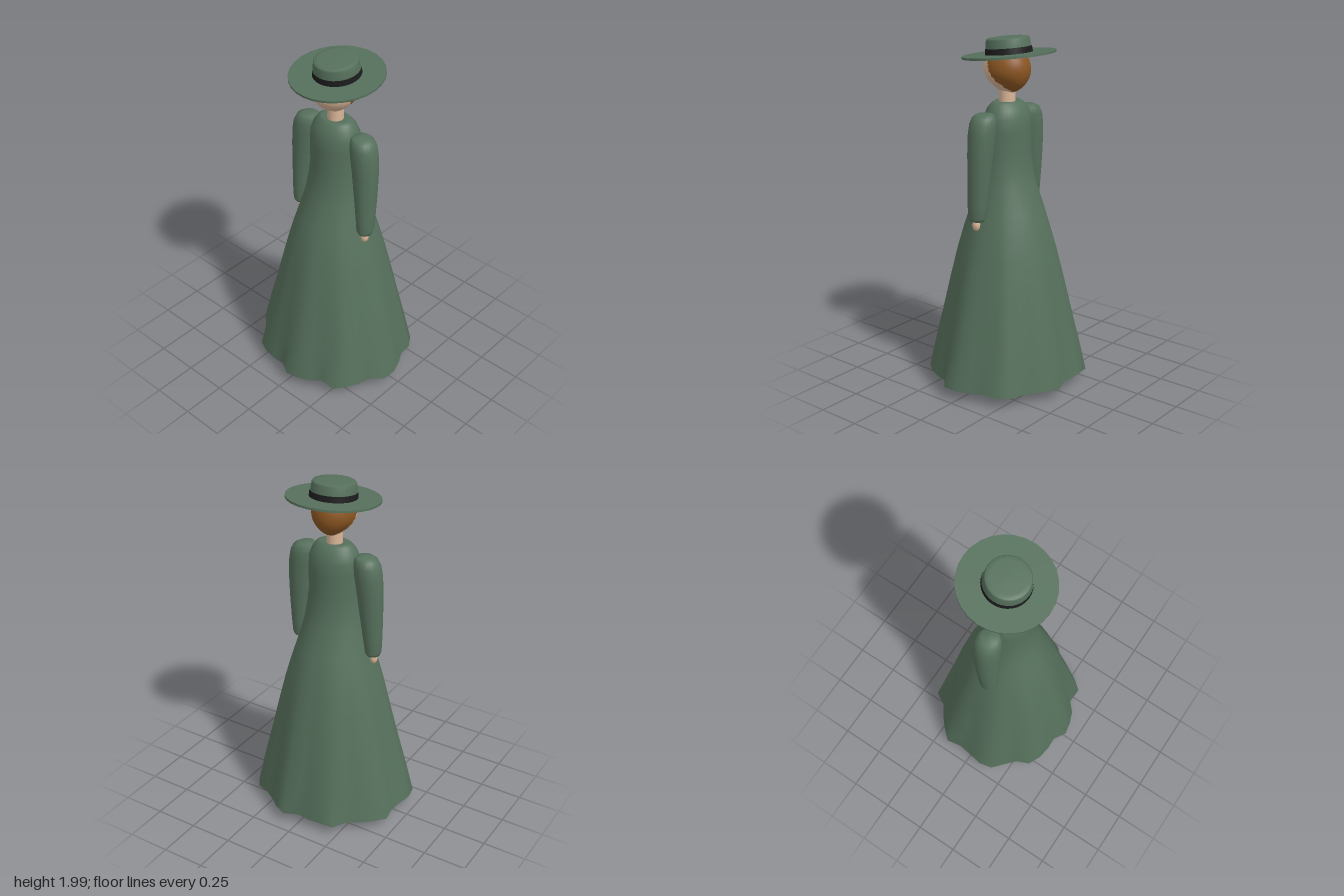
import * as THREE from 'three';
import { mergeVertices } from 'three/addons/utils/BufferGeometryUtils.js';

const mat = (name, color, side = THREE.FrontSide) => {
  const m = new THREE.MeshStandardMaterial({ color, side });
  m.name = name;
  return m;
};

// Smooth skin over stacked rings [y, rx, rz, cx, cz], listed bottom to top
function loft(rings, n, ripple = () => 1) {
  const pos = [], idx = [];
  rings.forEach(([y, rx, rz, cx = 0, cz = 0]) => {
    for (let j = 0; j < n; j++) {
      const a = (j / n) * Math.PI * 2, k = ripple(j, y);
      pos.push(cx + rx * k * Math.cos(a), y, cz + rz * k * Math.sin(a));
    }
  });
  for (let i = 0; i < rings.length - 1; i++) {
    for (let j = 0; j < n; j++) {
      const a = i * n + j, b = i * n + (j + 1) % n, c = a + n, d = b + n;
      idx.push(a, c, b, b, c, d);
    }
  }
  const g = new THREE.BufferGeometry();
  g.setAttribute('position', new THREE.Float32BufferAttribute(pos, 3));
  g.setIndex(idx);
  g.computeVertexNormals();
  return g;
}

// Egg-shaped head with a pointed face; group 0 is skin, group 1 is hair
function headGeometry() {
  let g = new THREE.SphereGeometry(1, 40, 30);
  g.deleteAttribute('uv');
  g.deleteAttribute('normal');
  g = mergeVertices(g);
  const p = g.attributes.position;
  for (let i = 0; i < p.count; i++) {
    const x = p.getX(i), y = p.getY(i), z = p.getZ(i);
    const taper = y < 0 ? 1 - 0.4 * y * y : 1;
    const nose = z > 0 ? 0.035 * (1 - Math.abs(x)) * (1 - Math.abs(y)) : 0;
    p.setXYZ(i, 0.12 * x * taper, 1.81 + 0.13 * y, z * (z > 0 ? 0.12 * taper : 0.135) + nose);
  }
  const skin = [], hair = [], old = g.index.array;
  for (let i = 0; i < old.length; i += 3) {
    const f = [old[i], old[i + 1], old[i + 2]];
    const y = f.reduce((s, v) => s + p.getY(v), 0) / 3;
    const z = f.reduce((s, v) => s + p.getZ(v), 0) / 3;
    (z < Math.min(0.05, -0.06 + (y - 1.69) * 0.77) ? hair : skin).push(...f);
  }
  g.setIndex([...skin, ...hair]);
  g.addGroup(0, skin.length, 0);
  g.addGroup(skin.length, hair.length, 1);
  g.computeVertexNormals();
  return g;
}

export function createModel() {
  const root = new THREE.Group();
  const green = mat('green cloth', 0x56705c, THREE.DoubleSide);
  const black = mat('black leather', 0x1c1c1e);
  const skin = mat('skin', 0xd9b597);
  const hair = mat('brown hair', 0x8a5522);

  const add = (name, geo, material, parent = root, pos = [0, 0, 0], scale = [1, 1, 1]) => {
    const m = new THREE.Mesh(geo, material);
    m.name = name;
    m.position.set(...pos);
    m.scale.set(...scale);
    parent.add(m);
    return m;
  };

  // Long dress, open below, with an uneven rippled hem (one radius every 10 degrees)
  const hem = [
    0.465, 0.47, 0.421, 0.436, 0.445, 0.453, 0.397, 0.418, 0.427,
    0.435, 0.398, 0.42, 0.441, 0.456, 0.425, 0.443, 0.478, 0.472,
    0.45, 0.446, 0.485, 0.459, 0.439, 0.424, 0.463, 0.433, 0.419,
    0.405, 0.446, 0.434, 0.417, 0.421, 0.459, 0.457, 0.428, 0.446];
  const ripple = (j, y) => 1 + Math.max(0, (1.15 - y) / 1.09) * (hem[j] / 0.44 - 1);
  const dress = [
    [0.06, 0.44, 0.44], [0.25, 0.402, 0.402], [0.45, 0.357, 0.357], [0.62, 0.32, 0.32],
    [0.8, 0.278, 0.278], [0.92, 0.246, 0.243], [1.02, 0.215, 0.212], [1.16, 0.178, 0.158],
    [1.26, 0.16, 0.137], [1.36, 0.148, 0.125], [1.48, 0.15, 0.125], [1.55, 0.147, 0.12],
    [1.6, 0.128, 0.1], [1.63, 0.105, 0.075], [1.64, 0.085, 0.06], [1.635, 0.042, 0.04]];
  add('dress', loft(dress, 36, ripple), green);

  // Sleeves, hands, legs and shoes on both sides
  const sleeve = [
    [1.0, 0, 0, 0.24, 0.022], [1.0, 0.036, 0.042, 0.24, 0.022], [1.02, 0.045, 0.053, 0.238, 0.021],
    [1.1, 0.052, 0.058, 0.236, 0.018], [1.25, 0.064, 0.066, 0.228, 0.012], [1.38, 0.073, 0.072, 0.22, 0.008],
    [1.48, 0.078, 0.076, 0.21, 0.006], [1.54, 0.075, 0.074, 0.202, 0.005], [1.575, 0.064, 0.065, 0.193, 0.005],
    [1.59, 0.045, 0.048, 0.185, 0.005], [1.593, 0, 0, 0.18, 0.005]];
  for (const s of [1, -1]) {
    const label = s > 0 ? 'left' : 'right';
    const rings = sleeve.map(([y, rx, rz, cx, cz]) => [y, rx, rz, s * cx, cz]);
    add(label + 'Sleeve', loft(rings, 20), green);
    add(label + 'Hand', new THREE.SphereGeometry(1, 12, 8), skin, root, [s * 0.24, 0.975, 0.026], [0.022, 0.035, 0.024]);
    add(label + 'Leg', new THREE.CylinderGeometry(0.065, 0.043, 0.8, 20), black, root, [s * 0.095, 0.46, 0]);
    add(label + 'Shoe', new THREE.SphereGeometry(1, 20, 14), black, root, [s * 0.095, 0.05, 0.037], [0.05, 0.05, 0.108]);
  }

  // Neck and head
  add('neck', new THREE.CylinderGeometry(0.043, 0.045, 0.13, 20), skin, root, [0, 1.68, 0]);
  add('headAndHair', headGeometry(), [skin, hair]);

  // Wide-brimmed hat, tipped forward
  const hat = new THREE.Group();
  hat.name = 'hat';
  hat.position.set(0, 1.893, -0.012);
  hat.rotation.x = 0.105;
  root.add(hat);
  add('brim', new THREE.CylinderGeometry(0.257, 0.257, 0.012, 28), green, hat);
  const crown = [[0, 0.128, 0.128], [0.04, 0.124, 0.124], [0.082, 0.119, 0.119], [0.09, 0.113, 0.113],
    [0.093, 0.09, 0.09], [0.095, 0, 0]];
  add('crown', loft(crown, 32), green, hat);
  add('hatBand', new THREE.CylinderGeometry(0.128, 0.131, 0.033, 32, 1, true), black, hat, [0, 0.0225, 0]);

  return root;
}
